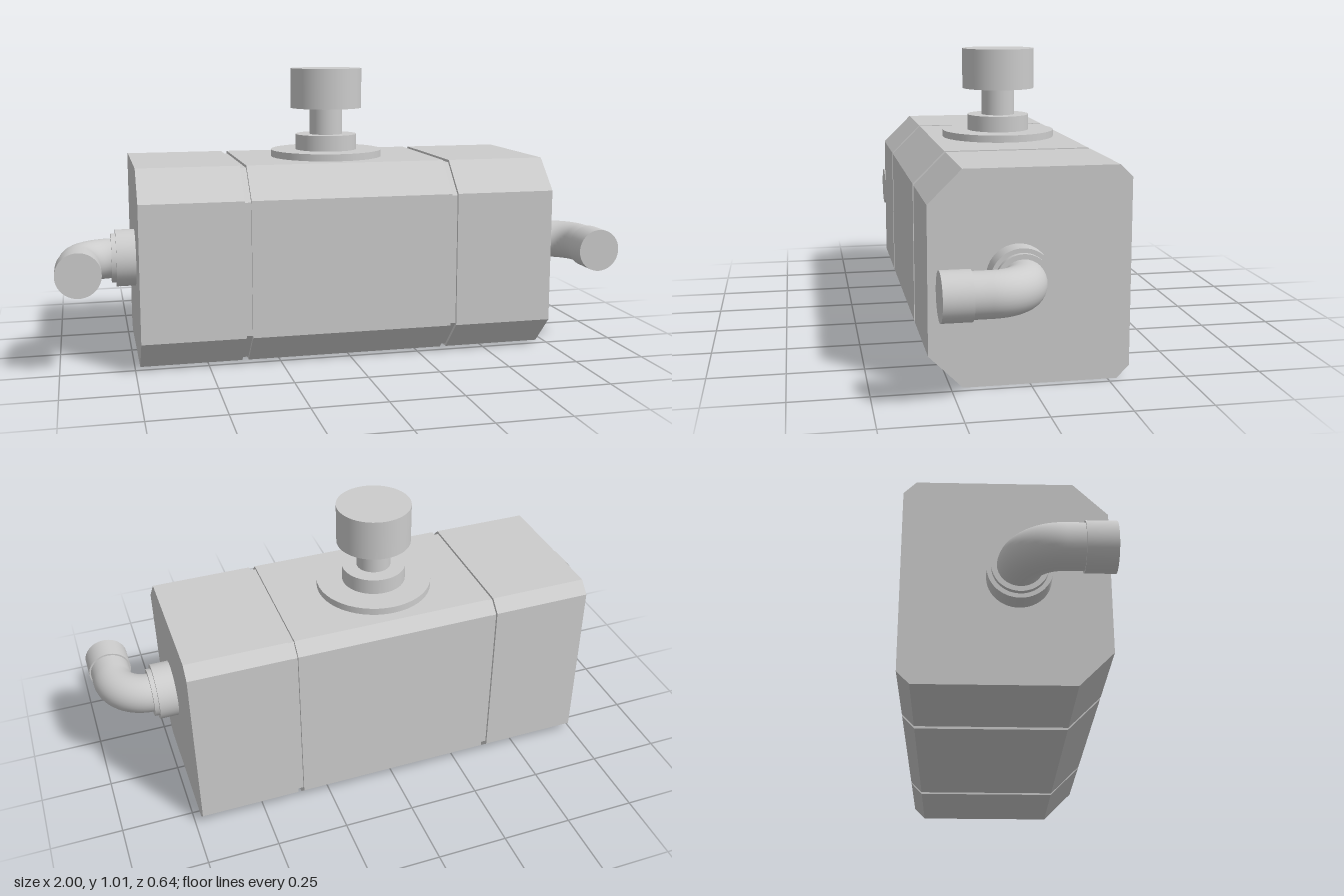
import * as THREE from 'three';

const CX = -0.004; // centre line of the tank along x
const PIPE_Y = 0.35, PIPE_Z = 0.04;
const material = new THREE.MeshStandardMaterial({ color: 0xcccccc });

function add(parent, name, geometry, x = 0, y = 0, z = 0) {
  const mesh = new THREE.Mesh(geometry, material);
  mesh.name = name;
  mesh.position.set(x, y, z);
  parent.add(mesh);
  return mesh;
}

// Chamfered tank section from x0 to x1; inset shrinks the outline evenly
function tankSection(x0, x1, inset = 0) {
  const midY = 0.3425;
  const kz = 1 - inset / 0.32, ky = 1 - inset / midY;
  const outline = [
    [0.212, 0], [0.32, 0.107], [0.32, 0.578], [0.212, 0.685],
    [-0.28, 0.685], [-0.32, 0.645], [-0.32, 0.04], [-0.28, 0],
  ];
  // Shape x becomes -z once the extrusion is turned to run along +x
  const points = outline.map(([z, y]) => new THREE.Vector2(-z * kz, midY + (y - midY) * ky));
  const geometry = new THREE.ExtrudeGeometry(new THREE.Shape(points), {
    depth: x1 - x0, bevelEnabled: false,
  });
  return geometry.rotateY(Math.PI / 2).translate(x0, 0, 0);
}

// Disc of the given radius between two heights
function disc(radius, y0, y1) {
  return new THREE.CylinderGeometry(radius, radius, y1 - y0, 48).translate(0, (y0 + y1) / 2, 0);
}

// Side fitting: collar, ring, elbow pipe and end sleeve; s is +1 left, -1 right
function pipeFitting(s) {
  const group = new THREE.Group();
  group.name = s > 0 ? 'leftPipe' : 'rightPipe';
  group.position.set(CX, PIPE_Y, PIPE_Z);
  const alongX = (name, r, x0, x1) =>
    add(group, name, disc(r, x0, x1).rotateZ(-s * Math.PI / 2));
  alongX('pipeCollar', 0.1, 0.72, 0.794);
  alongX('pipeRing', 0.086, 0.78, 0.81);

  const bend = 0.122, x = 0.924, k = bend * 0.5523;
  const v = (px, pz) => new THREE.Vector3(s * px, 0, pz);
  const path = new THREE.CurvePath();
  path.add(new THREE.LineCurve3(v(0.77, 0), v(x - bend, 0)));
  path.add(new THREE.CubicBezierCurve3(v(x - bend, 0), v(x - bend + k, 0), v(x, bend - k), v(x, bend)));
  path.add(new THREE.LineCurve3(v(x, bend), v(x, 0.2)));
  add(group, 'elbowPipe', new THREE.TubeGeometry(path, 40, 0.07, 32));

  const sleeve = disc(0.076, 0.178, 0.27).rotateX(Math.PI / 2);
  add(group, 'pipeSleeve', sleeve, s * x);
  return group;
}

export function createModel() {
  const model = new THREE.Group();
  model.name = 'tank';

  // Tank body: three sections parted by shallow grooves around a core
  const body = new THREE.Group();
  body.name = 'tankBody';
  model.add(body);
  const end = 0.728, grooveOut = 0.375, grooveIn = 0.353;
  add(body, 'rightSection', tankSection(-end, -grooveOut), CX);
  add(body, 'middleSection', tankSection(-grooveIn, grooveIn), CX);
  add(body, 'leftSection', tankSection(grooveOut, end), CX);
  for (const s of [-1, 1]) {
    const mid = s * (grooveOut + grooveIn) / 2;
    add(body, 'grooveCore', tankSection(mid - 0.02, mid + 0.02, 0.009), CX);
  }

  // Filler neck and cap
  const filler = new THREE.Group();
  filler.name = 'filler';
  filler.position.set(-0.021, 0, -0.038);
  model.add(filler);
  add(filler, 'fillerFlange', disc(0.203, 0.68, 0.71));
  add(filler, 'fillerCollar', disc(0.112, 0.705, 0.766));
  add(filler, 'fillerNeck', disc(0.06, 0.76, 0.865));
  add(filler, 'fillerCap', disc(0.13, 0.862, 1.006));

  model.add(pipeFitting(1), pipeFitting(-1));
  return model;
}
